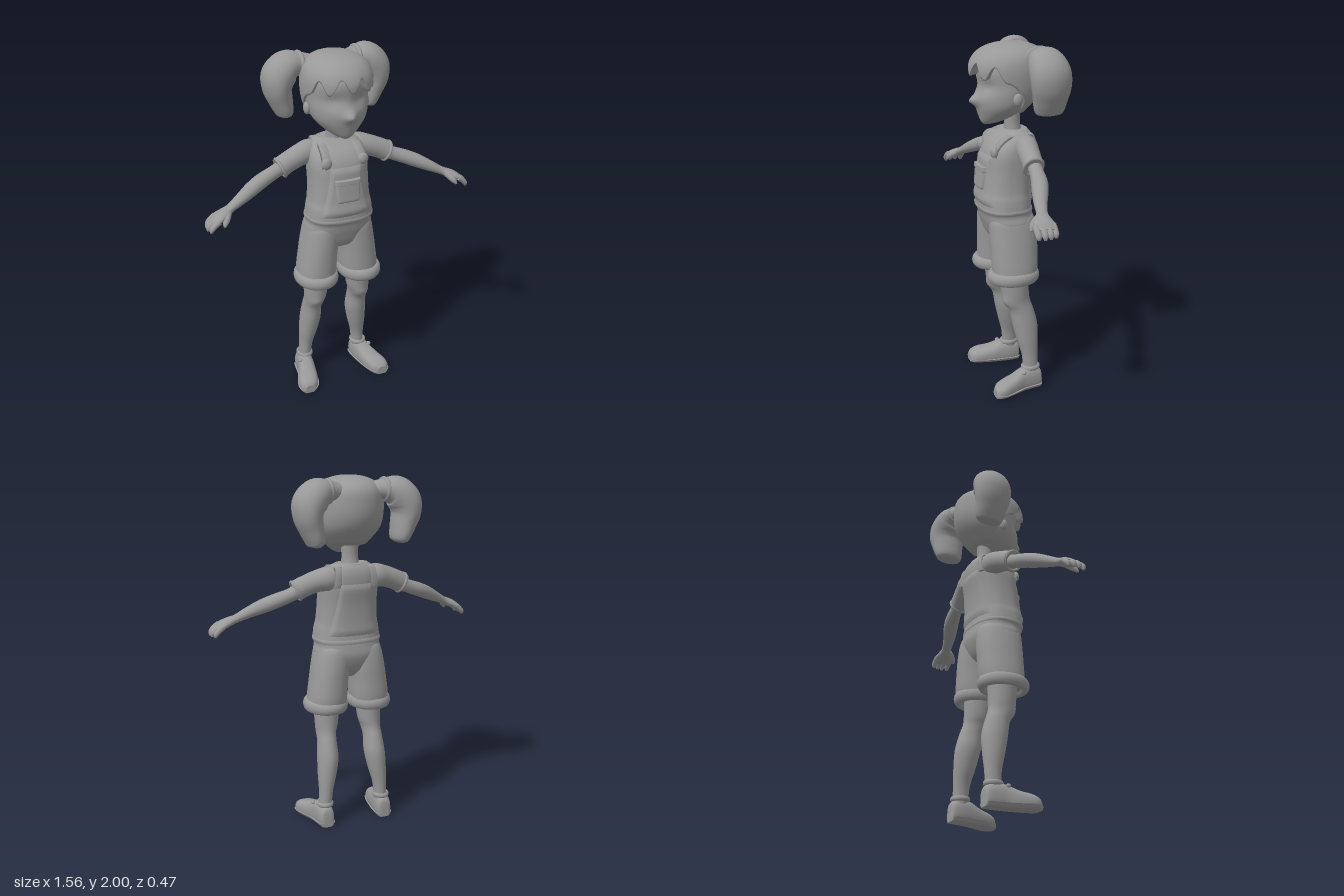
import * as THREE from 'three';

const V = (x, y, z) => new THREE.Vector3(x, y, z);
const grey = new THREE.MeshStandardMaterial({ color: 0x999999 });
grey.name = 'clayGrey';

// Catmull-Rom resampling of rows of numbers
function smooth(rows, steps) {
  const out = [], last = rows.length - 1;
  for (let i = 0; i < last; i++) for (let k = 0; k < steps; k++) {
    const t = k / steps, p = [rows[Math.max(i - 1, 0)], rows[i], rows[i + 1], rows[Math.min(i + 2, last)]];
    out.push(rows[i].map((_, c) => {
      const [a, b, d, e] = p.map(r => r[c]);
      return 0.5 * (2 * b + (d - a) * t + (2 * a - 5 * b + 4 * d - e) * t * t + (3 * b - a - 3 * d + e) * t ** 3);
    }));
  }
  return [...out, rows[last]];
}

// closed skin over rings of points, capped at both ends, facing outward
function skin(rings) {
  const n = rings[0].length, pos = [], idx = [];
  rings.forEach(r => r.forEach(p => pos.push(p.x, p.y, p.z)));
  for (let i = 0; i < rings.length - 1; i++) for (let j = 0; j < n; j++) {
    const a = i * n + j, b = i * n + (j + 1) % n;
    idx.push(a, b, b + n, a, b + n, a + n);
  }
  [rings[0], rings[rings.length - 1]].forEach((r, end) => {
    const base = pos.length / 3, c = V(0, 0, 0);
    r.forEach(p => { pos.push(p.x, p.y, p.z); c.addScaledVector(p, 1 / n); });
    pos.push(c.x, c.y, c.z);
    for (let j = 0; j < n; j++) {
      const a = base + j, b = base + (j + 1) % n;
      end ? idx.push(a, b, base + n) : idx.push(b, a, base + n);
    }
  });
  const at = i => V(pos[3 * i], pos[3 * i + 1], pos[3 * i + 2]);
  let volume = 0;
  for (let i = 0; i < idx.length; i += 3) volume += at(idx[i]).dot(at(idx[i + 1]).cross(at(idx[i + 2])));
  if (volume < 0) idx.reverse();
  const g = new THREE.BufferGeometry();
  g.setAttribute('position', new THREE.Float32BufferAttribute(pos, 3));
  g.setIndex(idx);
  g.computeVertexNormals();
  return g;
}

// point on a level cross-section; row = [y, cx, rx, zFront, zBack, frontPower, backPower]
function levelPoint([y, cx, rx, zf, zb, nf = 2, nb = 2], phi) {
  const s = Math.sin(phi), c = Math.cos(phi), e = 2 / (c > 0 ? nf : nb), mid = (zf + zb) / 2;
  return V(cx + rx * Math.sign(s) * Math.abs(s) ** e, y, mid + (zf - zb) / 2 * Math.sign(c) * Math.abs(c) ** e);
}
const circle = (n, f) => Array.from({ length: n }, (_, i) => f(i / n * Math.PI * 2));
const upright = (rows, n = 32, steps = 5) => skin(smooth(rows, steps).map(r => circle(n, a => levelPoint(r, a))));

// tube along rows [x, y, z, radius, depth radius]
function limb(rows, n = 20, steps = 5) {
  const s = smooth(rows, steps), P = s.map(r => V(r[0], r[1], r[2]));
  return skin(s.map((r, i) => {
    const t = P[Math.min(i + 1, P.length - 1)].clone().sub(P[Math.max(i - 1, 0)]).normalize();
    const b = V(0, 0, 1).addScaledVector(t, -t.z).normalize(), a = b.clone().cross(t);
    return circle(n, w => P[i].clone().addScaledVector(a, r[3] * Math.cos(w)).addScaledVector(b, r[4] * Math.sin(w)));
  }));
}

const torsoRows = [
  [0.87, 0, 0.03, 0.05, -0.03], [0.92, 0, 0.12, 0.13, -0.08], [1.0, 0, 0.192, 0.163, -0.11],
  [1.06, 0, 0.186, 0.178, -0.107], [1.09, 0, 0.19, 0.189, -0.102], [1.15, 0, 0.184, 0.186, -0.096],
  [1.2, 0, 0.174, 0.175, -0.094], [1.3, 0, 0.168, 0.165, -0.1], [1.4, 0, 0.168, 0.155, -0.116],
  [1.46, 0, 0.158, 0.12, -0.118], [1.5, 0, 0.135, 0.065, -0.108], [1.525, 0, 0.095, 0.03, -0.09],
].map(r => [...r, 2.5, 2.5]);
const torsoFine = smooth(torsoRows, 6);

// depth of the torso surface at x, y; s = 1 front, -1 back
function torsoZ(x, y, s) {
  const i = Math.max(1, torsoFine.findIndex(r => r[0] >= y)), a = torsoFine[i - 1], b = torsoFine[i];
  const t = (y - a[0]) / (b[0] - a[0]), [, , rx, f, k] = a.map((v, c) => v + (b[c] - v) * t);
  return (f + k) / 2 + s * (f - k) / 2 * Math.max(0, 1 - Math.abs(x / rx) ** 2.5) ** 0.4;
}
// raised cloth panel lying on the torso
function panel(y0, y1, halfWidth, lift, s) {
  const g = new THREE.PlaneGeometry(2, 1, 24, 20), p = g.attributes.position;
  if (s < 0) g.rotateY(Math.PI);
  for (let i = 0; i < p.count; i++) {
    const u = p.getX(i), v = p.getY(i) + 0.5, y = y0 + (y1 - y0) * v, x = u * halfWidth(v);
    const edge = Math.min(1, (1 - Math.abs(u)) * 7, v * 9, (1 - v) * 9);
    p.setXYZ(i, x, y, torsoZ(x, y, s) + s * (-0.006 + (lift + 0.006) * edge));
  }
  g.computeVertexNormals();
  return g;
}

export function createModel() {
  const model = new THREE.Group();
  const add = (name, g) => {
    const m = new THREE.Mesh(g, grey);
    m.name = name;
    model.add(m);
  };
  const pair = (name, g) => {
    add(name + 'Left', g);
    const r = g.clone().applyMatrix4(new THREE.Matrix4().makeScale(-1, 1, 1)), ix = r.index.array;
    for (let i = 0; i < ix.length; i += 3) [ix[i], ix[i + 1]] = [ix[i + 1], ix[i]];
    add(name + 'Right', r);
  };
  const ball = (x, y, z, rx, ry, rz) => new THREE.SphereGeometry(1, 20, 14).scale(rx, ry, rz).translate(x, y, z);
  const hoop = (x, y, z, rx, rz, tube, tall) =>
    new THREE.TorusGeometry(rx, tube, 12, 40).rotateX(Math.PI / 2).scale(1, tall / tube, rz / rx).translate(x, y, z);

  // head with pointed nose and hollowed eyes
  const head = upright([
    [1.562, 0, 0.02, 0.155, 0.11], [1.578, 0, 0.055, 0.17, 0.05], [1.615, 0, 0.105, 0.183, -0.03],
    [1.66, 0, 0.145, 0.195, -0.09], [1.71, 0, 0.165, 0.2, -0.14], [1.78, 0, 0.178, 0.185, -0.175],
    [1.86, 0, 0.178, 0.19, -0.18], [1.92, 0, 0.155, 0.16, -0.17], [1.96, 0, 0.1, 0.1, -0.12], [1.975, 0, 0.02, 0.03, -0.04],
  ].map(r => [...r, 1.85, 2]), 56, 6);
  const hp = head.attributes.position;
  for (let i = 0; i < hp.count; i++) if (hp.getZ(i) > 0.05) {
    const x = hp.getX(i), y = hp.getY(i), bump = (cx, cy, w, h) => Math.exp(-(((Math.abs(x) - cx) / w) ** 2) - ((y - cy) / h) ** 2);
    hp.setZ(i, hp.getZ(i) + 0.037 * bump(0, 1.695, 0.03, 0.027) - 0.012 * bump(0.075, 1.775, 0.045, 0.035));
  }
  head.computeVertexNormals();
  add('head', head);
  pair('ear', ball(0.172, 1.715, 0.02, 0.018, 0.035, 0.026));
  add('neck', upright([[1.48, 0, 0.056, 0.035, -0.075], [1.56, 0, 0.047, 0.033, -0.055], [1.67, 0, 0.05, 0.045, -0.06]], 24));

  // hair cap with scalloped fringe
  const hairRows = smooth([
    [2.0, 0, 0.001, 0.0, -0.002], [1.994, 0, 0.07, 0.08, -0.08], [1.97, 0, 0.135, 0.155, -0.15], [1.93, 0, 0.176, 0.205, -0.19],
    [1.87, 0, 0.192, 0.232, -0.2], [1.79, 0, 0.191, 0.222, -0.195], [1.72, 0, 0.178, 0.2, -0.165],
    [1.66, 0, 0.145, 0.19, -0.11], [1.6, 0, 0.09, 0.16, -0.05],
  ], 8);
  const hairPoint = (phi, y) => {
    const i = Math.max(1, hairRows.findIndex(r => r[0] <= y)), a = hairRows[i - 1], b = hairRows[i];
    return levelPoint(a.map((v, c) => v + (b[c] - v) * (y - a[0]) / (b[0] - a[0])), phi);
  };
  const hem = phi => {
    const a = Math.min(phi, Math.PI * 2 - phi);
    if (a < 1.24) return 1.868 - 0.04 * Math.cos(a * Math.PI * 2 / 0.62) - 0.02 * a;
    return THREE.MathUtils.lerp(1.803, 1.625, THREE.MathUtils.smoothstep(a, 1.24, 2.2));
  };
  const hair = [];
  for (let k = 0; k <= 24; k++) hair.push(circle(96, a => hairPoint(a, 1.9999 + (hem(a) - 1.9999) * (k / 24) ** 1.6)));
  hair.push(circle(96, a => hairPoint(a, hem(a)).multiply(V(0.8, 1, 0.8)).add(V(0, 0.008, 0))));
  add('hairCap', skin(hair));

  // pigtails with ties
  pair('pigtail', limb([
    [0.11, 1.92, -0.09, 0.05, 0.06], [0.16, 1.925, -0.1, 0.058, 0.07], [0.225, 1.915, -0.11, 0.084, 0.1],
    [0.275, 1.865, -0.118, 0.09, 0.112], [0.285, 1.8, -0.122, 0.077, 0.11], [0.268, 1.735, -0.124, 0.065, 0.098],
    [0.252, 1.68, -0.126, 0.053, 0.088], [0.247, 1.65, -0.127, 0.043, 0.074], [0.246, 1.638, -0.127, 0.02, 0.045],
  ], 28));
  pair('hairTie', new THREE.TorusGeometry(0.056, 0.013, 10, 28).rotateY(Math.PI / 2).scale(1, 1, 1.2).translate(0.165, 1.925, -0.1));

  // torso and overalls
  add('torso', upright(torsoRows, 56, 6));
  add('collar', hoop(0, 1.517, -0.03, 0.092, 0.058, 0.011, 0.011));
  add('bib', panel(1.11, 1.41, v => 0.158 - 0.062 * Math.sin(v * Math.PI / 2), 0.013, 1));
  add('bibPocket', panel(1.195, 1.335, v => 0.078 - 0.012 * (1 - v) ** 3, 0.026, 1));
  add('bibPocketFlap', panel(1.305, 1.338, () => 0.081, 0.031, 1));
  add('backBib', panel(1.11, 1.43, v => 0.16 - 0.06 * Math.sin(v * Math.PI / 2), 0.01, -1));
  add('waistSeam', skin([1.07, 1.08, 1.095, 1.105].map((y, i) => circle(56, a => {
    const r = [...torsoFine.reduce((p, q) => Math.abs(q[0] - y) < Math.abs(p[0] - y) ? q : p)], d = [-0.004, 0.004, 0.004, -0.004][i];
    return levelPoint([y, 0, r[2] + d, r[3] + d, r[4] - d, 2.5, 2.5], a);
  }))));

  // shoulder straps follow the torso over the shoulder
  const strap = [];
  for (let k = 0; k <= 28; k++) {
    const s = k < 14 ? 1 : -1, y = 1.508 - Math.abs(k - 14) / 14 * 0.11, x = 0.095 + 0.012 * (1.508 - y) / 0.11;
    const q = V(x, y, torsoZ(x, y, s)), n = V(0, k > 3 && k < 25 ? 1 : 0.3, s * Math.abs(k - 14) / 7).normalize();
    strap.push([[-1, -0.008], [-0.8, 0.008], [0.8, 0.008], [1, -0.008]].map(([w, h]) => q.clone().addScaledVector(n, h).add(V(w * 0.026, 0, 0))));
  }
  pair('strap', skin(strap));
  pair('strapButton', ball(0.107, 1.425, torsoZ(0.107, 1.425, 1) + 0.008, 0.031, 0.033, 0.02));

  // short legs and rolled cuffs
  pair('shortsLeg', upright([
    [0.69, 0.133, 0.108, 0.148, -0.1], [0.76, 0.128, 0.11, 0.152, -0.11], [0.85, 0.119, 0.106, 0.155, -0.112],
    [0.95, 0.106, 0.103, 0.158, -0.112], [1.04, 0.093, 0.096, 0.155, -0.1], [1.08, 0.085, 0.07, 0.12, -0.07],
  ].map(r => [...r, 2.2, 2.2]), 36));
  pair('shortsCuff', hoop(0.134, 0.706, 0.031, 0.104, 0.124, 0.022, 0.036));

  // bare legs
  pair('leg', upright([
    [0.72, 0.13, 0.074, 0.115, -0.06], [0.6, 0.134, 0.066, 0.1, -0.06], [0.545, 0.14, 0.056, 0.094, -0.066],
    [0.49, 0.144, 0.054, 0.058, -0.085], [0.4, 0.147, 0.06, 0.04, -0.108], [0.3, 0.158, 0.053, 0.016, -0.11],
    [0.2, 0.17, 0.039, -0.01, -0.106], [0.1, 0.176, 0.036, -0.018, -0.104],
  ], 28));

  // shoes: rows [z, cx, half width, height], flat underneath
  const shoeRing = (rows, grow, cap) => skin(smooth(rows, 5).map(([z, cx, w, h]) => circle(28, a => {
    const c = Math.cos(a), s = Math.sin(a);
    return V(cx + (w + grow) * Math.sign(c) * Math.abs(c) ** 0.75, Math.max(0, Math.min(cap, h * (0.45 + 0.55 * Math.sign(s) * Math.abs(s) ** 0.85))), z);
  })));
  const shoe = [
    [-0.122, 0.181, 0.02, 0.07], [-0.112, 0.181, 0.04, 0.11], [-0.06, 0.184, 0.048, 0.132], [0.0, 0.192, 0.05, 0.125],
    [0.06, 0.208, 0.057, 0.1], [0.12, 0.225, 0.06, 0.086], [0.16, 0.233, 0.05, 0.07], [0.18, 0.237, 0.028, 0.05],
  ];
  pair('shoe', shoeRing(shoe, 0, 1));
  pair('shoeSole', shoeRing(shoe, 0.006, 0.022));
  pair('shoeCollar', hoop(0.178, 0.128, -0.06, 0.04, 0.046, 0.009, 0.014));
  pair('shoeBuckle', ball(0.228, 0.115, 0.0, 0.012, 0.012, 0.014));

  // sleeves and arms
  pair('sleeve', limb([
    [0.08, 1.44, -0.045, 0.06, 0.05], [0.14, 1.445, -0.04, 0.068, 0.062], [0.2, 1.435, -0.028, 0.061, 0.06],
    [0.27, 1.41, -0.018, 0.058, 0.056], [0.324, 1.384, -0.01, 0.059, 0.055],
  ], 28));
  pair('sleeveHem', new THREE.TorusGeometry(0.054, 0.009, 10, 28).rotateY(Math.PI / 2).rotateZ(-0.43).translate(0.318, 1.387, -0.01));
  pair('arm', limb([
    [0.26, 1.41, -0.02, 0.042, 0.042], [0.35, 1.367, -0.014, 0.038, 0.038], [0.43, 1.337, 0.003, 0.04, 0.044],
    [0.5, 1.308, 0.028, 0.039, 0.043], [0.57, 1.275, 0.055, 0.031, 0.036], [0.635, 1.243, 0.074, 0.023, 0.03],
    [0.67, 1.228, 0.084, 0.024, 0.042], [0.71, 1.21, 0.092, 0.023, 0.058], [0.745, 1.188, 0.094, 0.017, 0.055],
  ], 24));
  for (let i = 0; i < 4; i++) {
    const z = 0.049 + i * 0.031, reach = [-0.012, -0.002, 0, -0.008][i];
    pair('finger' + (i + 1), limb([
      [0.715, 1.208, z, 0.016, 0.017], [0.748 + reach, 1.191, z, 0.016, 0.017],
      [0.768 + reach, 1.17, z, 0.014, 0.016], [0.772 + reach, 1.152, z, 0.007, 0.008],
    ], 12, 4));
  }
  pair('thumb', limb([
    [0.655, 1.23, 0.1, 0.018, 0.02], [0.672, 1.212, 0.128, 0.018, 0.02], [0.686, 1.195, 0.146, 0.015, 0.016], [0.696, 1.178, 0.156, 0.006, 0.007],
  ], 12, 4));
  return model;
}
